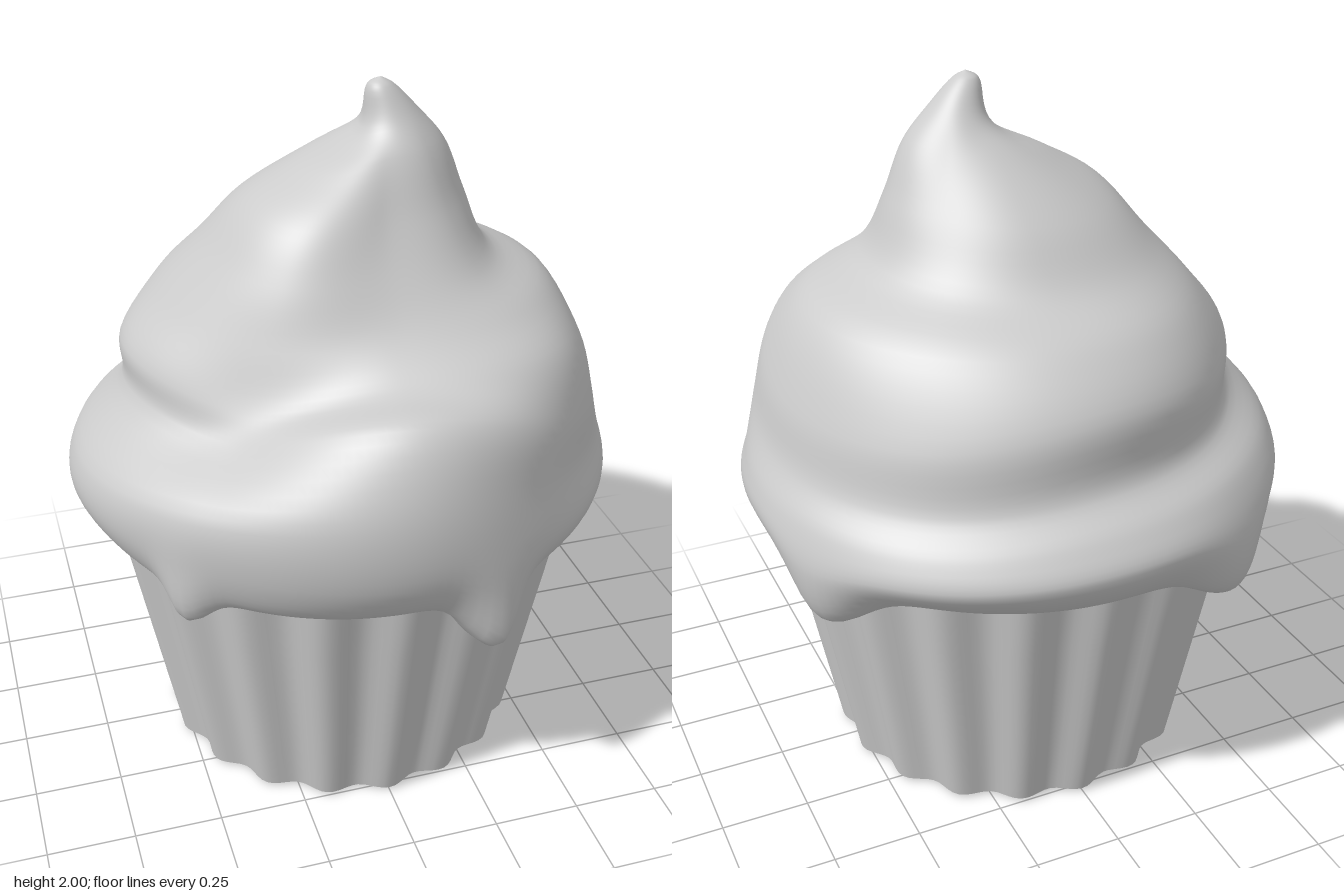
import * as THREE from 'three';
import { toCreasedNormals } from 'three/addons/utils/BufferGeometryUtils.js';

// Frosting profiles [radius, height], one every 45 degrees from +x towards -z:
// bulge, bulge top, groove, second tier, tier top, upper groove, peak, shoulder
const PROFILES = [
  [[.78, .88], [.77, .96], [.725, 1.07], [.69, 1.22], [.57, 1.42], [.37, 1.53], [.28, 1.68], [.2, 1.82]],
  [[.805, .87], [.78, .95], [.71, 1.04], [.675, 1.2], [.55, 1.41], [.38, 1.52], [.27, 1.67], [.17, 1.81]],
  [[.79, .9], [.745, .99], [.655, 1.08], [.648, 1.27], [.55, 1.41], [.4, 1.51], [.3, 1.66], [.15, 1.82]],
  [[.775, .89], [.73, 1], [.625, 1.1], [.615, 1.24], [.55, 1.4], [.44, 1.53], [.34, 1.66], [.18, 1.79]],
  [[.78, .88], [.76, 1], [.61, 1.18], [.605, 1.29], [.52, 1.42], [.42, 1.56], [.33, 1.69], [.2, 1.775]],
  [[.755, .9], [.745, 1.06], [.57, 1.18], [.52, 1.25], [.46, 1.4], [.4, 1.55], [.32, 1.68], [.18, 1.785]],
  [[.785, .9], [.79, 1.13], [.7, 1.32], [.55, 1.345], [.44, 1.42], [.33, 1.55], [.23, 1.68], [.14, 1.82]],
  [[.77, .88], [.735, 1.02], [.72, 1.17], [.655, 1.33], [.52, 1.43], [.38, 1.52], [.26, 1.67], [.17, 1.82]],
];

// Drips along the lower lip: angle in degrees, width, depth
const DRIPS = [[287, .12, .14], [220, .1, .07], [25, .2, .11], [122, .22, .11]];

const TIP = { x: .1, z: .05 };

// Smooth periodic interpolation between neighbouring values
function spline(p0, p1, p2, p3, t) {
  const v0 = (p2 - p0) / 2, v1 = (p3 - p1) / 2;
  return (2 * p1 - 2 * p2 + v0 + v1) * t ** 3 + (-3 * p1 + 3 * p2 - 2 * v0 - v1) * t * t + v0 * t + p1;
}

function dripDepth(a) {
  let depth = 0;
  for (const [deg, width, d] of DRIPS) {
    let diff = a - THREE.MathUtils.degToRad(deg);
    diff = Math.atan2(Math.sin(diff), Math.cos(diff));
    depth += d * Math.exp(-((diff / width) ** 2));
  }
  return depth;
}

// Profile curve at one angle; its centre leans towards the tip with height
function frostingCurve(a) {
  const n = PROFILES.length;
  const u = (a / (Math.PI * 2)) * n, k = Math.floor(u), t = u - k;
  const near = [-1, 0, 1, 2].map(o => PROFILES[(k + o + n) % n]);
  const d = dripDepth(a);
  const points = [[.58, .77 - d * .8], [.64, .758 - d], [.70 + d * .55, .77 - d * .9]];
  for (let j = 0; j < 8; j++) {
    const [r, y] = [0, 1].map(c => spline(...near.map(p => p[j][c]), t));
    points.push(j === 0 ? [r + d * .1, y - d * .4] : [r, y]);
  }
  points.push([.077 + .033 * Math.cos(a), 1.89 + .02 * Math.cos(a)], [.035, 1.98], [0, 2]);
  return new THREE.CatmullRomCurve3(points.map(([r, y]) => {
    const lean = THREE.MathUtils.clamp((y - 1.3) / .65, 0, 1);
    return new THREE.Vector3(TIP.x * lean + r * Math.cos(a), y, TIP.z * lean - r * Math.sin(a));
  }));
}

function frostingGeometry(around = 160, up = 78) {
  const position = [], index = [];
  for (let i = 0; i < around; i++) {
    const curve = frostingCurve((i / around) * Math.PI * 2);
    for (const p of curve.getPoints(up)) position.push(p.x, p.y, p.z);
    for (let j = 0; j < up; j++) {
      const a = i * (up + 1) + j, b = ((i + 1) % around) * (up + 1) + j;
      index.push(a, b, a + 1, b, b + 1, a + 1);
    }
  }
  const geometry = new THREE.BufferGeometry();
  geometry.setAttribute('position', new THREE.Float32BufferAttribute(position, 3));
  geometry.setIndex(index);
  geometry.computeVertexNormals();
  return geometry;
}

// Tapered cup whose wall is rippled into 18 flutes, with a faintly domed base
function wrapperGeometry() {
  const geometry = new THREE.CylinderGeometry(.66, .515, .765, 180, 4).translate(0, .3925, 0);
  const p = geometry.attributes.position;
  for (let i = 0; i < p.count; i++) {
    const x = p.getX(i), z = p.getZ(i), y = p.getY(i);
    const s = 1 - .03 * Math.cos(18 * Math.atan2(z, x));
    const atBaseCentre = y < .1 && Math.hypot(x, z) < .01;
    p.setXYZ(i, x * s, atBaseCentre ? 0 : y, z * s);
  }
  return toCreasedNormals(geometry, .8);
}

export function createModel() {
  const material = new THREE.MeshStandardMaterial({ color: 0xcccccc });
  const group = new THREE.Group();
  group.name = 'cupcake';
  const parts = { wrapper: wrapperGeometry(), frosting: frostingGeometry() };
  for (const [name, geometry] of Object.entries(parts)) {
    const mesh = new THREE.Mesh(geometry, material);
    mesh.name = name;
    group.add(mesh);
  }
  return group;
}
